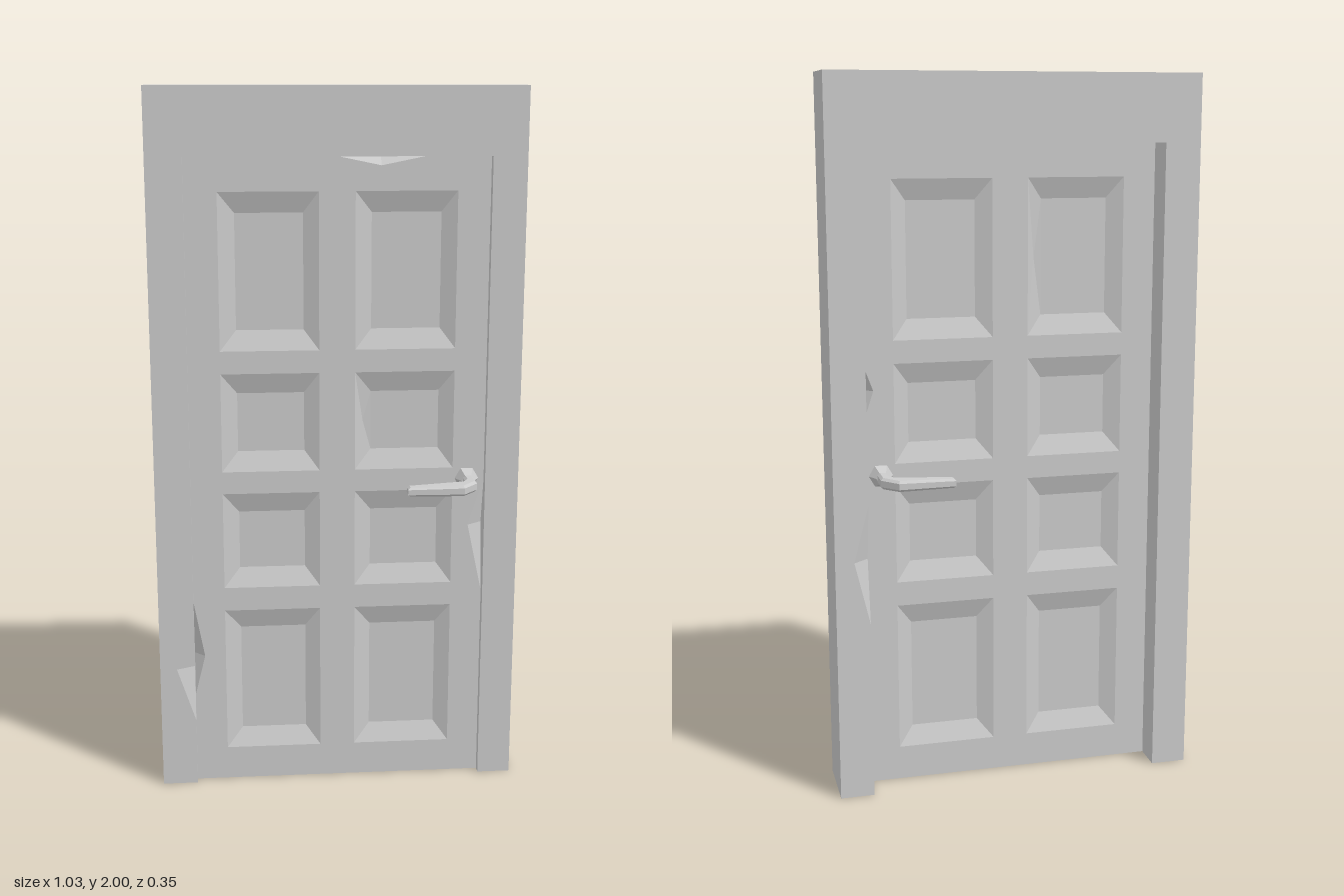
import * as THREE from 'three';

const grey = new THREE.MeshStandardMaterial({ color: 0xcccccc, flatShading: true });

// Adds a flat polygon (with optional holes) to a vertex list, facing along normal n
function addPoly(out, pts, n, holes = []) {
  const a = n.map(Math.abs);
  const k = a[2] >= a[0] && a[2] >= a[1] ? [0, 1] : a[0] >= a[1] ? [1, 2] : [0, 2];
  const flat = (l) => l.map((p) => new THREE.Vector2(p[k[0]], p[k[1]]));
  const all = [...pts, ...holes.flat()].map((p) => new THREE.Vector3(...p));
  const facing = new THREE.Vector3(...n);
  for (const [i, j, m] of THREE.ShapeUtils.triangulateShape(flat(pts), holes.map(flat))) {
    const u = all[j].clone().sub(all[i]).cross(all[m].clone().sub(all[i]));
    const tri = u.dot(facing) < 0 ? [i, m, j] : [i, j, m];
    for (const t of tri) out.push(...all[t].toArray());
  }
}

function toMesh(out, name) {
  const g = new THREE.BufferGeometry();
  g.setAttribute('position', new THREE.Float32BufferAttribute(out, 3));
  g.computeVertexNormals();
  const mesh = new THREE.Mesh(g, grey);
  mesh.name = name;
  return mesh;
}

// Prism from a counter-clockwise outline. Each chip knocks a splinter out of the
// edge between a side and the front (+1) or back (-1): a, b on the edge, p on the face.
function chippedPrism(out, outline, zBack, zFront, chips, holes = []) {
  const faces = { 1: [], [-1]: [] };
  outline.forEach((c, i) => {
    const d = outline[(i + 1) % outline.length];
    const n = [d[1] - c[1], c[0] - d[0], 0];
    const len = Math.hypot(n[0], n[1]);
    const unit = [n[0] / len, n[1] / len, 0];
    const sideEdges = {};
    for (const s of [1, -1]) {
      const z = s > 0 ? zFront : zBack;
      faces[s].push([...c, z]);
      sideEdges[s] = [[...c, z]];
      for (const h of chips.filter((q) => q.edge === i && q.face === s)) {
        const A = [...h.a, z], B = [...h.b, z], P = [...h.p, z];
        const off = (h.p[0] - c[0]) * unit[0] + (h.p[1] - c[1]) * unit[1];
        const Q = [h.p[0] - unit[0] * off, h.p[1] - unit[1] * off, z - s * h.depth];
        faces[s].push(A, P, B);
        sideEdges[s].push(A, Q, B);
        const facing = [unit[0], unit[1], s];
        const mid = P.map((v, m) => (v + Q[m]) / 2);
        for (const E of [A, B]) {
          const e = E.map((v, m) => (mid[m] - v) * 0.01);
          addPoly(out, [E, P, Q], facing.map((v, m) => v + e[m]));
        }
      }
      sideEdges[s].push([...d, z]);
    }
    addPoly(out, [...sideEdges[1], ...sideEdges[-1].reverse()], unit);
  });
  for (const s of [1, -1]) {
    const z = s > 0 ? zFront : zBack;
    addPoly(out, faces[s], [0, 0, s], holes.map((r) => r.map((p) => [...p, z])));
  }
}

const L = -0.415, R = 0.42, TOP = 1.815, HALF = 0.038;

function makeFrame() {
  const out = [];
  const outline = [[-0.515, 0], [L, 0], [L, TOP], [R, TOP], [R, 0], [0.515, 0], [0.515, 2], [-0.515, 2]];
  chippedPrism(out, outline, -0.125, 0.062, [
    { edge: 1, face: 1, a: [L, 0.2], p: [-0.467, 0.36], b: [L, 0.5], depth: 0.024 },
    { edge: 3, face: -1, a: [R, 0.85], p: [0.462, 0.69], b: [R, 0.51], depth: 0.035 },
  ]);
  return toMesh(out, 'doorFrame');
}

function makeDoor() {
  const out = [];
  const rect = (x0, x1, y0, y1) => [[x0, y0], [x1, y0], [x1, y1], [x0, y1]];
  const columns = [[-0.325, -0.05], [0.05, 0.33]];
  const rows = [[1.287, 1.722], [0.942, 1.223], [0.597, 0.878], [0.098, 0.528]];
  const holes = columns.flatMap(([x0, x1]) => rows.map(([y0, y1]) => rect(x0, x1, y0, y1)));
  chippedPrism(out, [[L, 0], [R, 0], [R, TOP], [L, TOP]], -HALF, HALF, [
    { edge: 1, face: 1, a: [R, 0.57], p: [0.377, 0.77], b: [R, 0.905], depth: 0.03 },
    { edge: 1, face: -1, a: [R, 1.05], p: [0.387, 1.15], b: [R, 1.24], depth: 0.03 },
    { edge: 2, face: 1, a: [0.245, TOP], p: [0.12, 1.79], b: [0, TOP], depth: 0.025 },
    { edge: 3, face: 1, a: [L, 0.555], p: [-0.385, 0.39], b: [L, 0.27], depth: 0.03 },
  ], holes);

  // Sunken panels with sloping borders on both faces
  for (const s of [1, -1]) {
    holes.forEach((h, index) => {
      const [[x0, y0], , [x1, y1]] = h;
      const outer = h.map((p) => [...p, s * HALF]);
      const inner = rect(x0 + 0.046, x1 - 0.042, y0 + 0.056, y1 - 0.058).map((p) => [...p, s * (HALF - 0.02)]);
      addPoly(out, inner, [0, 0, s]);
      // One border is dented on each face
      const dented = s > 0 ? index === 5 : index === 0;
      for (let i = 0; i < 4; i++) {
        const j = (i + 1) % 4;
        const quad = [outer[i], outer[j], inner[j], inner[i]];
        if (dented && i === (s > 0 ? 3 : 1)) {
          const dent = [0, 1, 2].map((m) => quad.reduce((t, q) => t + q[m], 0) / 4);
          dent[2] -= s * 0.009;
          quad.forEach((q, m) => addPoly(out, [q, quad[(m + 1) % 4], dent], [0, 0, s]));
        } else addPoly(out, quad, [0, 0, s]);
      }
    });
  }
  return toMesh(out, 'doorLeaf');
}

// Lever handle reaching out along +z, or along -z for s = -1
function makeHandle(s) {
  const group = new THREE.Group();
  group.name = s > 0 ? 'frontHandle' : 'backHandle';
  const plan = [[0.355, 0.03], [0.355, 0.1], [0.344, 0.12], [0.185, 0.143], [0.185, 0.175],
    [0.343, 0.175], [0.385, 0.128], [0.385, 0.03]];
  const shape = new THREE.Shape(plan.map(([x, z]) => new THREE.Vector2(x, -s * z)));
  const leverGeo = new THREE.ExtrudeGeometry(shape, {
    depth: 0.018, bevelThickness: 0.007, bevelSize: 0.007, bevelOffset: -0.007, bevelSegments: 1,
  });
  leverGeo.rotateX(-Math.PI / 2);
  leverGeo.translate(0, 0.901, 0);
  // The lever gets slimmer towards its tip
  const pos = leverGeo.attributes.position;
  for (let i = 0; i < pos.count; i++) {
    const slim = THREE.MathUtils.mapLinear(pos.getX(i), 0.185, 0.385, 0.8, 1);
    pos.setY(i, 0.91 + (pos.getY(i) - 0.91) * slim);
  }
  leverGeo.computeVertexNormals();
  const lever = new THREE.Mesh(leverGeo, grey);
  lever.name = 'lever';
  const rosette = new THREE.Mesh(new THREE.CylinderGeometry(0.018, 0.035, 0.034, 6), grey);
  rosette.name = 'rosette';
  rosette.rotation.set(s * Math.PI / 2, Math.PI / 6, 0, 'XYZ');
  rosette.position.set(0.37, 0.91, s * 0.053);
  group.add(lever, rosette);
  return group;
}

export function createModel() {
  const model = new THREE.Group();
  model.name = 'panelledDoor';
  model.add(makeFrame(), makeDoor(), makeHandle(1), makeHandle(-1));
  return model;
}
